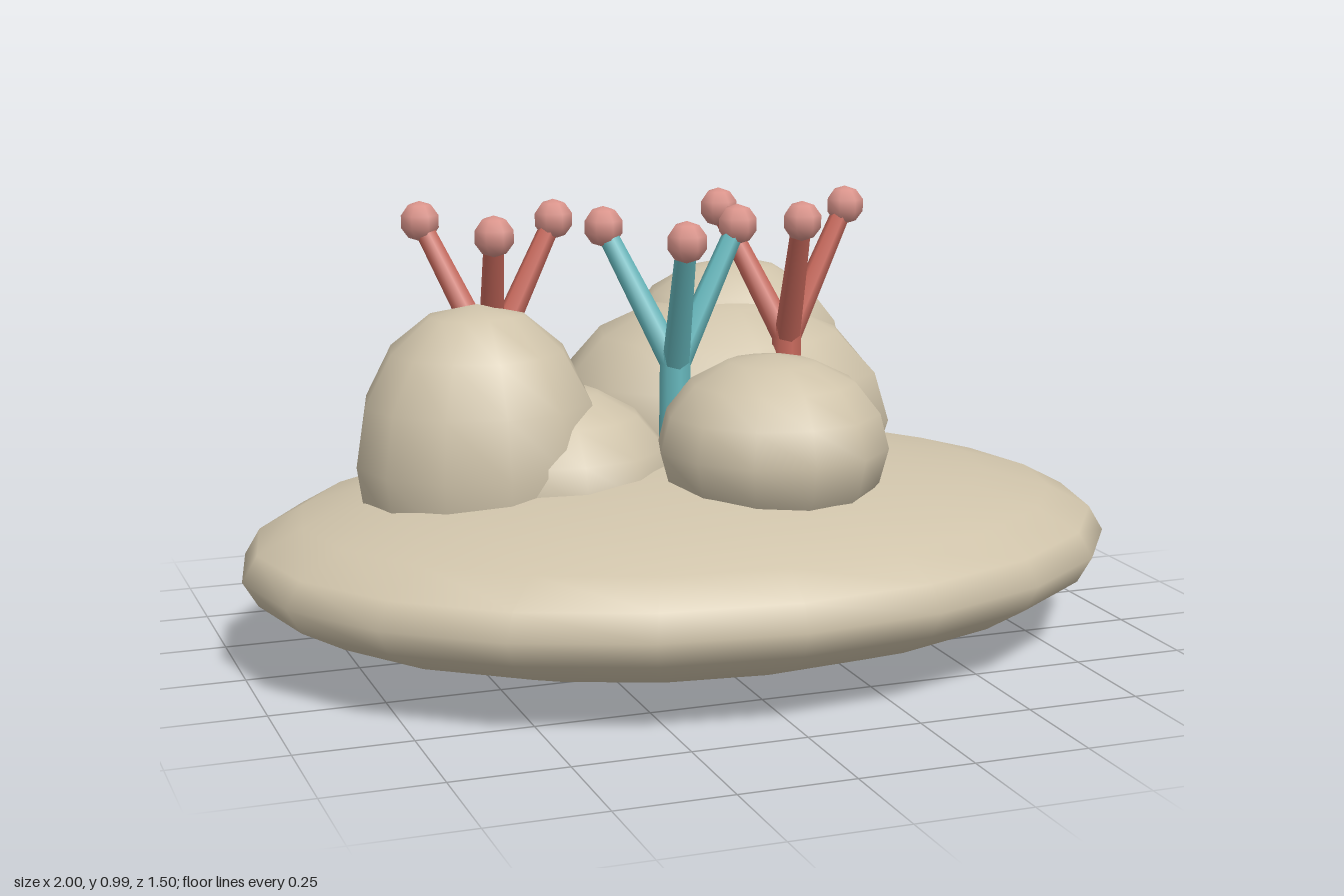
import * as THREE from 'three';

const material = (name, color) => {
  const m = new THREE.MeshStandardMaterial({ color });
  m.name = name;
  return m;
};

export function createModel() {
  const sand = material('sand stone', 0xcfc3aa);
  const red = material('red coral', 0xc8695c);
  const teal = material('teal coral', 0x66b8bd);
  const pink = material('pink polyp', 0xd9938a);

  const model = new THREE.Group();
  model.name = 'coralReef';

  const add = (parent, name, geometry, mat, position = [0, 0, 0]) => {
    const mesh = new THREE.Mesh(geometry, mat);
    mesh.name = name;
    mesh.position.set(...position);
    parent.add(mesh);
    return mesh;
  };

  // Flattened base mound
  const mound = new THREE.SphereGeometry(1, 20, 12);
  mound.scale(1, 0.218, 0.752);
  add(model, 'baseMound', mound, sand, [0, 0.223, 0]);

  // Rounded boulders: slightly uneven ellipsoids
  const boulder = (name, center, radii, seed) => {
    const g = new THREE.SphereGeometry(1, 12, 8);
    const p = g.attributes.position;
    const v = new THREE.Vector3();
    for (let i = 0; i < p.count; i++) {
      v.fromBufferAttribute(p, i);
      v.multiplyScalar(1 + 0.015 * Math.sin(4 * v.x + seed) * Math.cos(5 * v.z - 3 * v.y + seed));
      p.setXYZ(i, v.x, v.y, v.z);
    }
    g.scale(...radii);
    // Normals of the smooth ellipsoid, so the sphere seam stays hidden
    const n = g.attributes.normal;
    for (let i = 0; i < p.count; i++) {
      v.fromBufferAttribute(p, i);
      v.set(v.x / radii[0] ** 2, v.y / radii[1] ** 2, v.z / radii[2] ** 2).normalize();
      n.setXYZ(i, v.x, v.y, v.z);
    }
    add(model, name, g, sand, center);
  };
  boulder('rightBoulder', [-0.465, 0.45, -0.02], [0.275, 0.345, 0.26], 1);
  boulder('lowBoulder', [-0.3, 0.385, -0.01], [0.275, 0.22, 0.265], 2);
  boulder('frontBoulder', [0.125, 0.49, 0.237], [0.255, 0.2, 0.25], 3);
  boulder('backBoulder', [0.225, 0.425, -0.355], [0.415, 0.3, 0.36], 4);
  boulder('backBoulderCap', [0.285, 0.55, -0.435], [0.28, 0.247, 0.235], 5);

  // Corals: a trunk forking into three branches with round tips
  const up = new THREE.Vector3(0, 1, 0);
  const tips = [[-0.125, 0.95, -0.12], [0.165, 0.95, -0.055], [-0.035, 0.95, 0.168]];
  const coral = (name, x, z, mat) => {
    const group = new THREE.Group();
    group.name = name;
    group.position.set(x, 0, z);
    model.add(group);
    add(group, 'trunk', new THREE.CylinderGeometry(0.034, 0.038, 0.3, 7), mat, [0, 0.535, 0]);
    const fork = new THREE.Vector3(0, 0.65, 0);
    for (const tip of tips) {
      const end = new THREE.Vector3(...tip);
      const dir = end.clone().sub(fork);
      const mid = fork.clone().add(end).multiplyScalar(0.5);
      const branch = add(group, 'branch', new THREE.CylinderGeometry(0.022, 0.03, dir.length(), 6), mat, mid.toArray());
      branch.quaternion.setFromUnitVectors(up, dir.normalize());
      add(group, 'polypTip', new THREE.SphereGeometry(0.045, 7, 5), pink, tip);
    }
  };
  coral('rightCoral', -0.41, -0.112, red);
  coral('leftCoral', 0.3, -0.112, red);
  coral('middleCoral', -0.053, 0.108, teal);

  return model;
}
